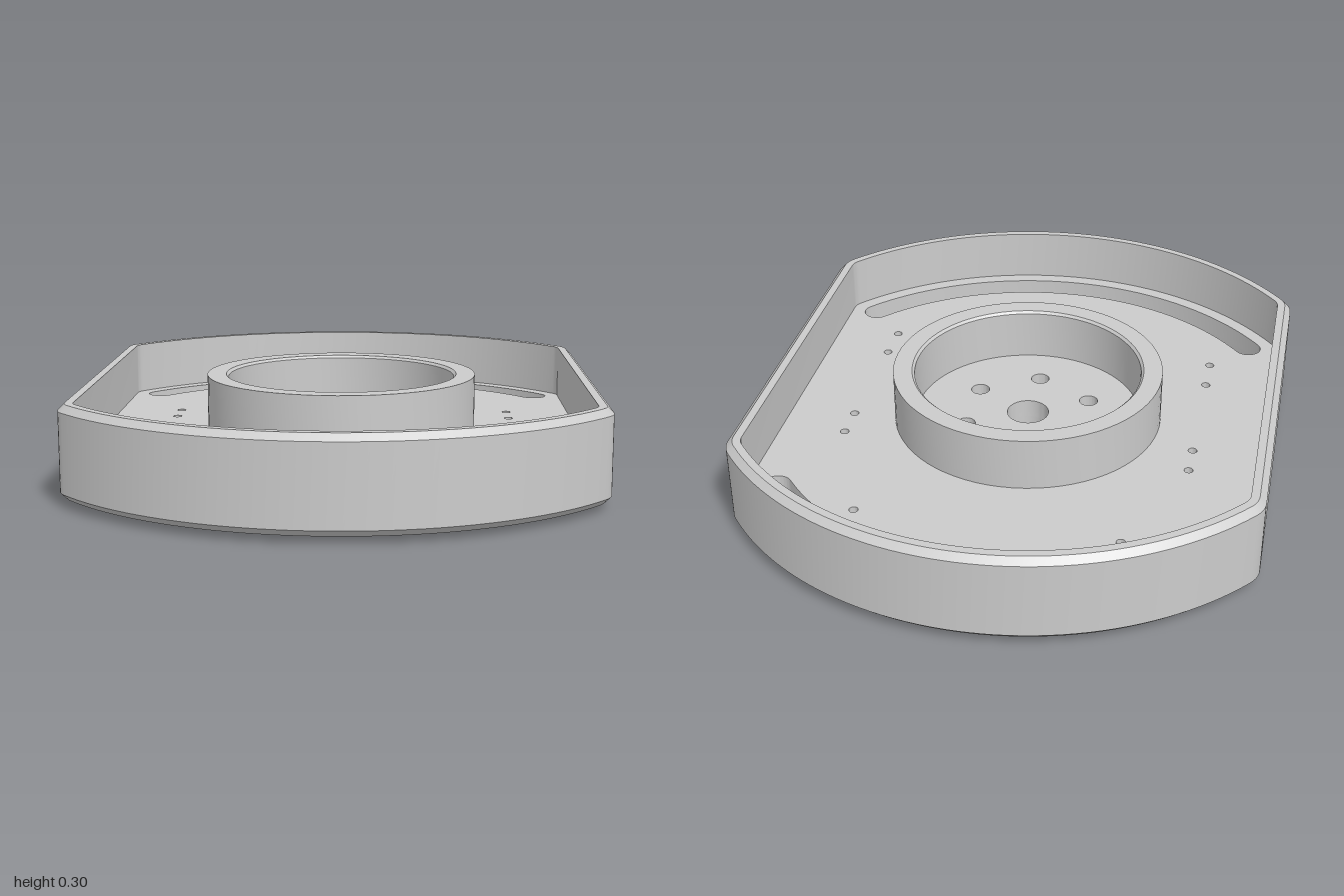
import * as THREE from 'three';
import { toCreasedNormals } from 'three/addons/utils/BufferGeometryUtils.js';

const material = new THREE.MeshStandardMaterial({ color: 0xcccccc });
const FLOOR_BOTTOM = 0.02, FLOOR_MID = 0.07, FLOOR_TOP = 0.13, RIM_TOP = 0.3;
const WALL = 0.045;

function addMesh(parent, name, geometry) {
  const mesh = new THREE.Mesh(toCreasedNormals(geometry, 0.45), material);
  mesh.name = name;
  parent.add(mesh);
  return mesh;
}

// Plan outline: unit circle cut flat at x = +-0.8 with rounded corners, moved inwards by inset
function outline(inset) {
  const cx = 0.7, cz = Math.sqrt(0.9 * 0.9 - cx * cx), phi = Math.atan2(cz, cx);
  const pts = [];
  const arc = (x, z, r, a0, a1, n) => {
    for (let i = 0; i <= n; i++) {
      const a = a0 + (a1 - a0) * i / n;
      pts.push(new THREE.Vector2(x + r * Math.cos(a), z + r * Math.sin(a)));
    }
  };
  for (const s of [1, -1]) {
    const t = s > 0 ? 0 : Math.PI;
    arc(s * cx, s * cz, 0.1 - inset, t, t + phi, 5);
    pts.pop();
    arc(0, 0, 1 - inset, t + phi, t + Math.PI - phi, 48);
    pts.pop();
    arc(-s * cx, s * cz, 0.1 - inset, t + Math.PI - phi, t + Math.PI, 5);
  }
  return pts;
}

// Sweep an [inset, height] profile around the outline
function wallGeometry(profile) {
  const rings = profile.map(([inset, y]) => outline(inset).map(p => [p.x, y, p.y]));
  const n = rings[0].length, index = [];
  for (let k = 0; k < rings.length - 1; k++) {
    for (let i = 0; i < n; i++) {
      const j = (i + 1) % n;
      const a = k * n + i, b = k * n + j, c = a + n, d = b + n;
      index.push(a, c, b, b, c, d);
    }
  }
  const g = new THREE.BufferGeometry();
  g.setAttribute('position', new THREE.Float32BufferAttribute(rings.flat(2), 3));
  g.setIndex(index);
  return g;
}

function circleHole(x, z, r) {
  return new THREE.Path().absarc(x, z, r, 0, Math.PI * 2, false);
}

// Curved slot with round ends, s = 1 at the front and -1 at the back
function slotHole(s) {
  const mid = 0.865, half = 0.045, end = 0.692;
  const t = s > 0 ? 0 : Math.PI, a0 = t + end, a1 = t + Math.PI - end;
  const path = new THREE.Path();
  path.absarc(0, 0, mid + half, a0, a1, false);
  path.absarc(mid * Math.cos(a1), mid * Math.sin(a1), half, a1, a1 + Math.PI, false);
  path.absarc(0, 0, mid - half, a1, a0, true);
  path.absarc(mid * Math.cos(a0), mid * Math.sin(a0), half, a0 + Math.PI, a0 + 2 * Math.PI, false);
  return path;
}

// One layer of the floor plate with all its openings
function floorLayer(y0, y1, boltRadius) {
  const shape = new THREE.Shape(outline(WALL));
  shape.holes.push(slotHole(1), slotHole(-1), circleHole(0, 0, 0.067));
  for (let i = 0; i < 6; i++) {
    const a = Math.PI / 2 + i * Math.PI / 3;
    shape.holes.push(circleHole(0.21 * Math.cos(a), 0.21 * Math.sin(a), boltRadius));
  }
  const pins = [[0, -0.755], [0.4, -0.63], [-0.4, -0.63]];
  for (const z of [-0.23, -0.12, 0.28, 0.41]) pins.push([0.55, z], [-0.55, z]);
  for (const [x, z] of pins) shape.holes.push(circleHole(x, z, 0.014));
  const g = new THREE.ExtrudeGeometry(shape, { depth: y1 - y0, bevelEnabled: false, curveSegments: 20 });
  return g.rotateX(Math.PI / 2).translate(0, y1, 0);
}

export function createModel() {
  const model = new THREE.Group();
  model.name = 'mountingTray';

  // Outer wall with chamfered outside edges
  addMesh(model, 'outerWall', wallGeometry([
    [WALL, FLOOR_BOTTOM], [0.02, FLOOR_BOTTOM], [0, 0.04], [0, 0.28],
    [0.02, RIM_TOP], [WALL, RIM_TOP], [WALL, FLOOR_TOP],
  ]));

  // Floor plate, counterbored from below at the bolt circle
  addMesh(model, 'floorLower', floorLayer(FLOOR_BOTTOM, FLOOR_MID, 0.055));
  addMesh(model, 'floorUpper', floorLayer(FLOOR_MID, FLOOR_TOP, 0.03));

  // Central hub ring
  const hub = [[0.43, FLOOR_TOP], [0.43, RIM_TOP], [0.37, RIM_TOP], [0.362, 0.292], [0.362, FLOOR_TOP]];
  addMesh(model, 'hubRing', new THREE.LatheGeometry(hub.map(p => new THREE.Vector2(...p)), 72));

  // Corner brackets under the floor: two legs meeting at an outer corner
  const leg = 0.052, thick = 0.015;
  for (const sx of [1, -1]) {
    for (const [z, dir] of [[-0.29, 1], [-0.05, -1], [0.215, 1], [0.49, -1]]) {
      const bracket = new THREE.Group();
      bracket.name = 'cornerBracket';
      bracket.position.set(sx * 0.64, FLOOR_BOTTOM / 2, z);
      addMesh(bracket, 'bracketLegAcross', new THREE.BoxGeometry(leg, FLOOR_BOTTOM, thick))
        .position.set(-sx * leg / 2, 0, dir * thick / 2);
      addMesh(bracket, 'bracketLegAlong', new THREE.BoxGeometry(thick, FLOOR_BOTTOM, leg - thick))
        .position.set(-sx * thick / 2, 0, dir * (leg + thick) / 2);
      model.add(bracket);
    }
  }

  // Thin locating rib under the back
  addMesh(model, 'locatingRib', new THREE.BoxGeometry(0.5, FLOOR_BOTTOM, 0.012))
    .position.set(0.03, FLOOR_BOTTOM / 2, -0.565);

  return model;
}
